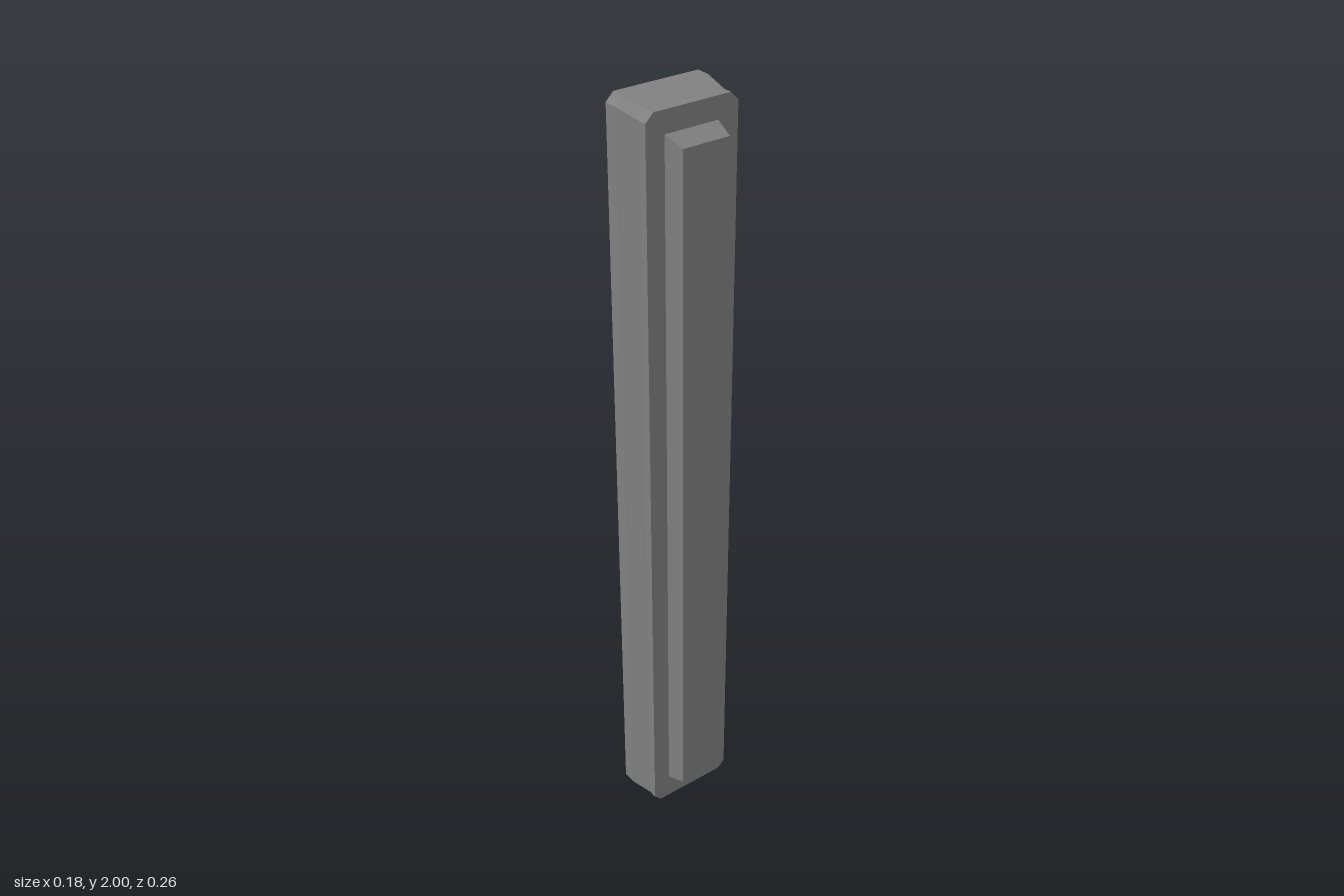
import * as THREE from 'three';

const grey = new THREE.MeshStandardMaterial({ color: 0x808080, side: THREE.DoubleSide, flatShading: true });
grey.name = 'grey';

// Outlines are drawn facing the viewer, then turned to face +x (u = -z, v = y).
const rect = (u0, u1, v0, v1) => [[u0, v0], [u1, v0], [u1, v1], [u0, v1]];

// Rectangle with cut corners, centred on u = 0, v = 1
function cutRect(w, h, c) {
  const b = 1 - h, t = 1 + h;
  return [[-w + c, b], [w - c, b], [w, b + c], [w, t - c], [w - c, t], [-w + c, t], [-w, t - c], [-w, b + c]];
}

// Open wall running through a series of outlines, each at its own depth
function loft(rings) {
  const pos = [];
  for (let i = 0; i < rings.length - 1; i++) {
    const [p, q] = [rings[i], rings[i + 1]];
    const n = p.pts.length;
    for (let j = 0; j < n; j++) {
      const k = (j + 1) % n;
      const a = [...p.pts[j], p.x], b = [...p.pts[k], p.x];
      const c = [...q.pts[k], q.x], d = [...q.pts[j], q.x];
      pos.push(...a, ...b, ...c, ...a, ...c, ...d);
    }
  }
  const g = new THREE.BufferGeometry();
  g.setAttribute('position', new THREE.Float32BufferAttribute(pos, 3));
  g.computeVertexNormals();
  return g;
}

// Flat face at depth x, with an optional opening
function face(pts, x, hole) {
  const toVec = (p) => new THREE.Vector2(...p);
  const shape = new THREE.Shape(pts.map(toVec));
  if (hole) shape.holes.push(new THREE.Path(hole.map(toVec)));
  return new THREE.ShapeGeometry(shape).translate(0, 0, x);
}

export function createModel() {
  const model = new THREE.Group();
  model.name = 'housing';
  const add = (name, geometry) => {
    const mesh = new THREE.Mesh(geometry.rotateY(Math.PI / 2), grey);
    mesh.name = name;
    model.add(mesh);
  };

  const wide = cutRect(0.13, 1, 0.02);
  const narrow = cutRect(0.12, 0.99, 0.02);
  const ridgeBase = rect(-0.072, 0.067, 0.08, 1.937);
  const ridgeTip = rect(-0.063, 0.058, 0.097, 1.92);

  // Hollow shell, open at the -x side
  add('shellWall', loft([
    { pts: wide, x: -0.09 }, { pts: wide, x: -0.055 },
    { pts: narrow, x: 0.015 }, { pts: narrow, x: 0.038 },
  ]));
  add('shellRim', face(narrow, 0.038, ridgeBase));

  // Raised tapering ridge
  add('ridgeWall', loft([{ pts: ridgeBase, x: 0.038 }, { pts: ridgeTip, x: 0.09 }]));
  add('ridgeFace', face(ridgeTip, 0.09));

  return model;
}
